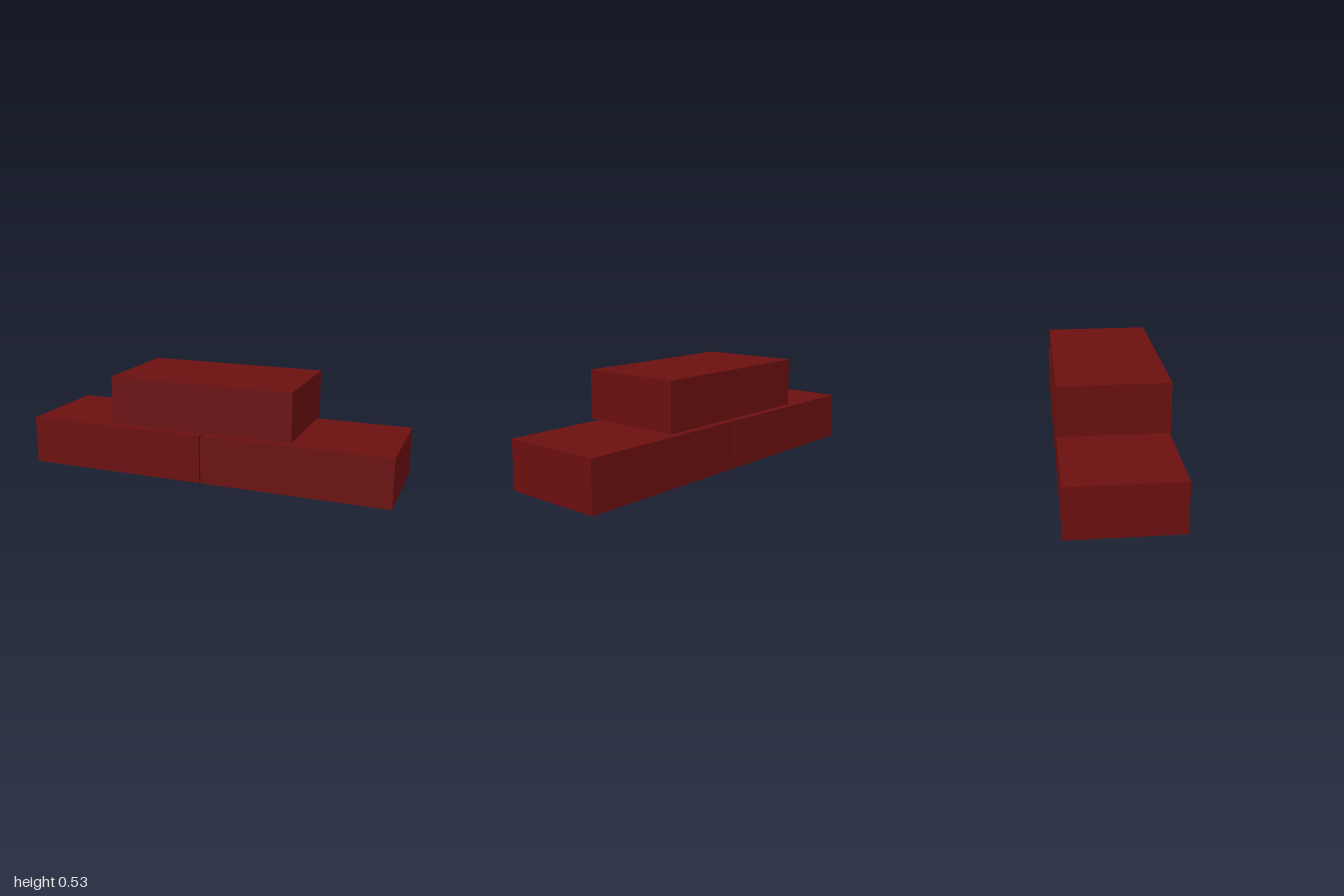
import * as THREE from 'three';

// Three identical bricks: two side by side, one bridging the joint above
export function createModel() {
  const group = new THREE.Group();
  const width = 0.996, height = 0.259, depth = 0.559;
  const material = new THREE.MeshStandardMaterial({ color: 0x6b0f0f });
  const geometry = new THREE.BoxGeometry(width, height, depth);

  const addBrick = (name, x, bottom) => {
    const brick = new THREE.Mesh(geometry, material);
    brick.name = name;
    brick.position.set(x, bottom + height / 2, 0);
    group.add(brick);
  };

  addBrick('lowerRightBrick', -1 + width / 2, 0);
  addBrick('lowerLeftBrick', 1 - width / 2, 0);
  addBrick('upperBrick', -0.006, 0.274);
  return group;
}
